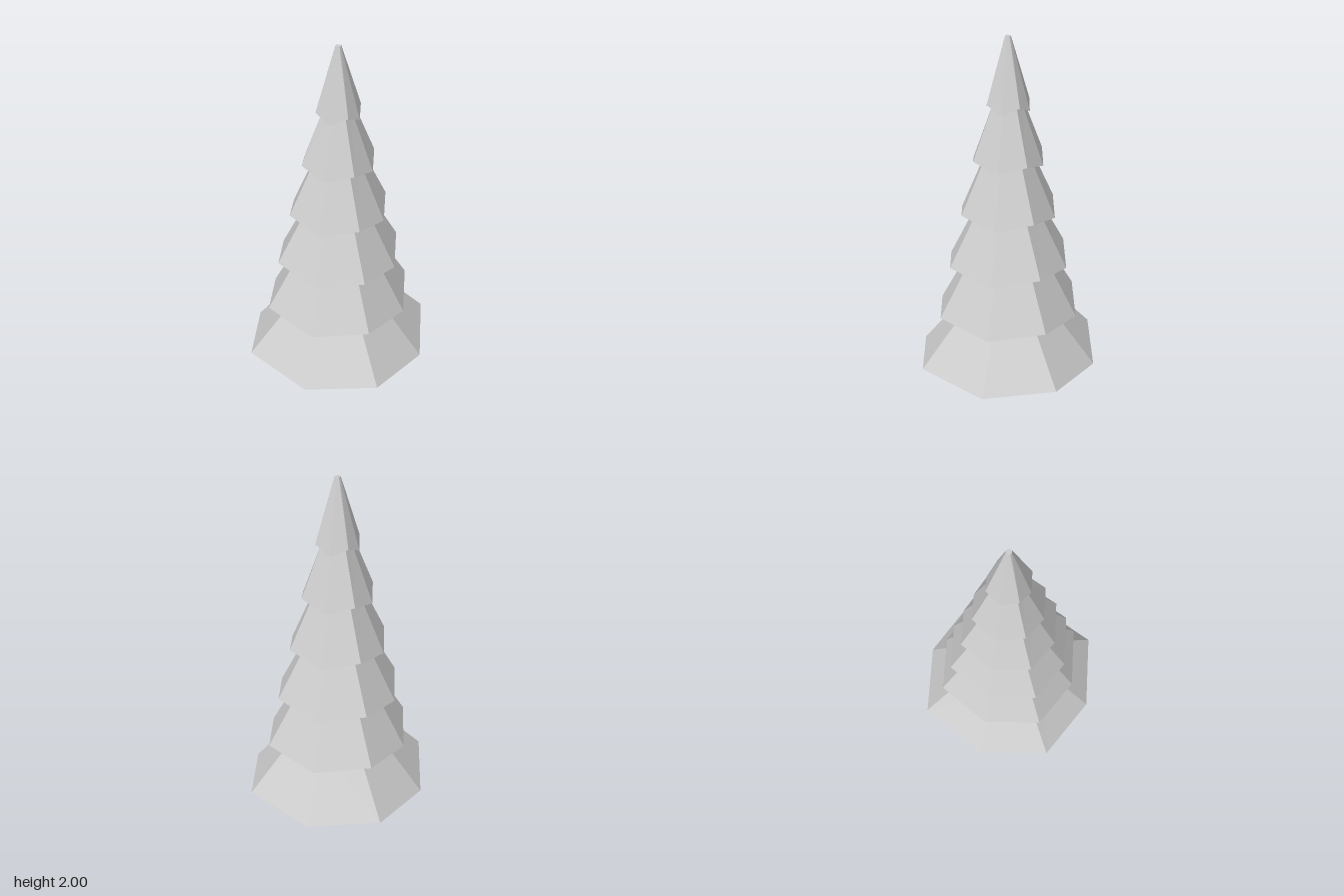
import * as THREE from 'three';

const SIDES = 8;
const material = new THREE.MeshStandardMaterial({ color: 0xcccccc, flatShading: true });

// Eight-sided ring: diagonal corners reach slightly further out and can be lifted
function ring(radius, y, lift = 0) {
  return Array.from({ length: SIDES }, (_, i) => {
    const a = (i / SIDES) * Math.PI * 2;
    const diagonal = i % 2;
    const r = radius * (diagonal ? 1.073 : 1);
    return new THREE.Vector3(Math.sin(a) * r, y + diagonal * lift, Math.cos(a) * r);
  });
}

// Skin a sequence of rings with flat facets
function loft(rings, name) {
  const points = [];
  const triangle = (a, b, c) => {
    if (new THREE.Triangle(a, b, c).getArea() > 1e-9) points.push(a, b, c);
  };
  for (let k = 0; k < rings.length - 1; k++) {
    const [low, high] = [rings[k], rings[k + 1]];
    for (let i = 0; i < SIDES; i++) {
      const j = (i + 1) % SIDES;
      // split each facet symmetrically, from its diagonal corner
      if (i % 2) {
        triangle(low[i], low[j], high[j]);
        triangle(low[i], high[j], high[i]);
      } else {
        triangle(low[i], low[j], high[i]);
        triangle(low[j], high[j], high[i]);
      }
    }
  }
  const geometry = new THREE.BufferGeometry().setFromPoints(points);
  geometry.computeVertexNormals();
  const mesh = new THREE.Mesh(geometry, material);
  mesh.name = name;
  return mesh;
}

export function createModel() {
  const tree = new THREE.Group();
  tree.name = 'pineTree';

  // Trunk, narrowing above the flared foot
  const trunk = loft([
    ring(0, 0), ring(0.079, 0), ring(0.066, 0.2), ring(0.074, 0.285),
  ], 'trunk');
  tree.add(trunk);

  // Branch tiers: rim radius, rim height, neck radius, neck height (under the rim)
  const tiers = [
    [0.477, 0.224, 0.29, 0.275],
    [0.372, 0.505, 0.222, 0.552],
    [0.314, 0.786, 0.2, 0.834],
    [0.248, 1.067, 0.154, 1.115],
    [0.183, 1.348, 0.112, 1.395],
    [0.111, 1.63, 0.068, 1.675],
  ];
  const RIM_LIFT = 0.04;
  const NECK_LIFT = 0.02;
  tiers.forEach(([rim, rimY, neck, neckY], i) => {
    const rings = [ring(neck, neckY, NECK_LIFT), ring(rim, rimY, RIM_LIFT)];
    if (i === 0) rings.unshift(ring(0, neckY + NECK_LIFT / 2)); // closed underside
    const next = tiers[i + 1];
    if (next) rings.push(ring(next[2], next[3], NECK_LIFT));
    else rings.push(ring(0.014, 2), ring(0, 2)); // blunt tip
    tree.add(loft(rings, `branchTier${i + 1}`));
  });

  return tree;
}
